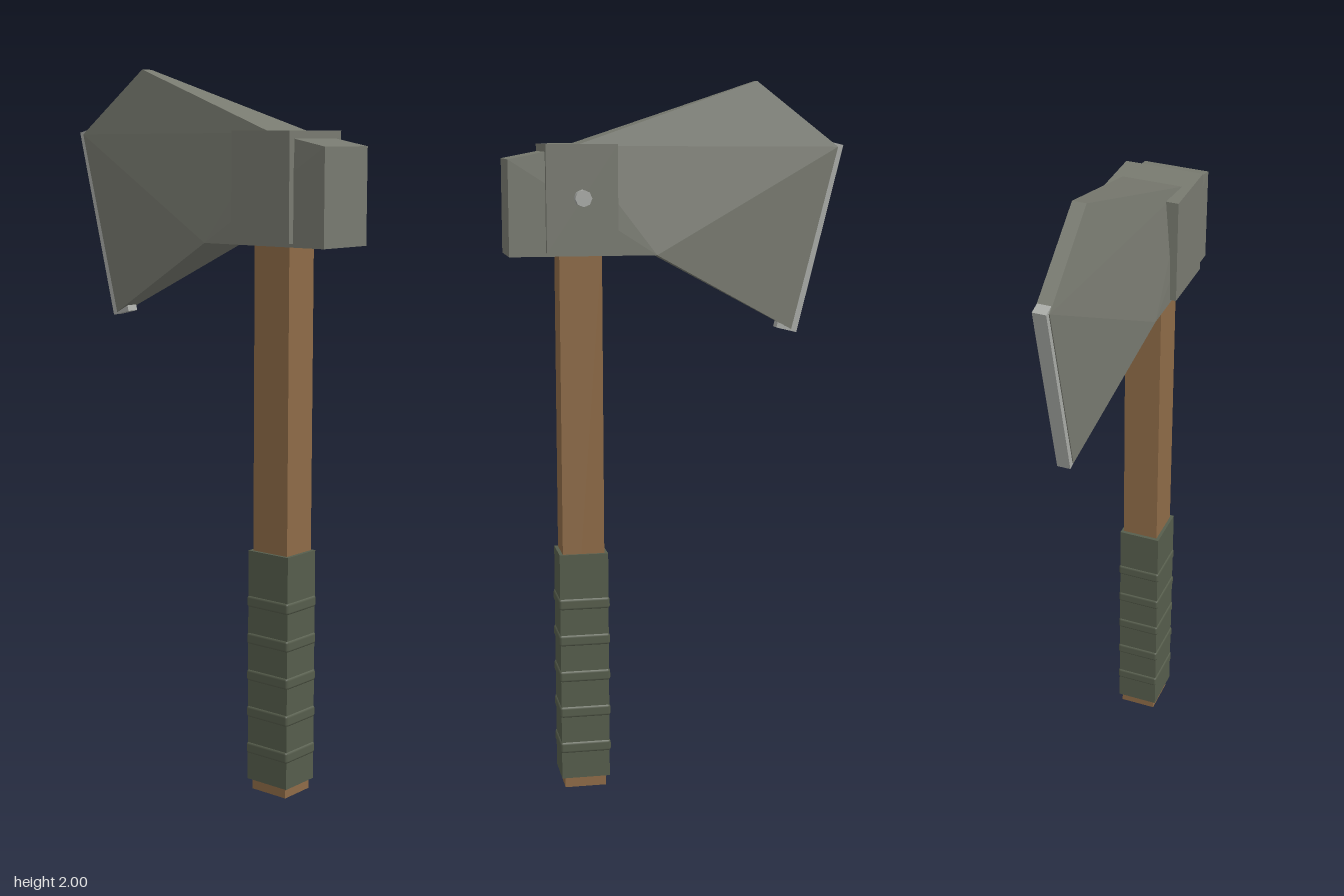
import * as THREE from 'three';
import { RoundedBoxGeometry } from 'three/addons/geometries/RoundedBoxGeometry.js';

const Z = 0.014; // centre plane of the axe

function material(name, color) {
  const m = new THREE.MeshStandardMaterial({ color });
  m.name = name;
  return m;
}

// Faceted head: outline points [x, y, half thickness], counter-clockwise from the front
function headGeometry() {
  const outline = [
    [-0.46, 1.82, 0.02],   // 0 upper end of the cutting edge
    [-0.33, 1.31, 0.02],   // 1 lower end of the cutting edge
    [0.07, 1.53, 0.093],   // 2 beard meets the eye
    [0.475, 1.53, 0.093],  // 3 poll, bottom
    [0.475, 1.79, 0.093],  // 4 poll, top
    [0.295, 1.825, 0.087], // 5 end of the top ridge
    [-0.225, 2.0, 0.019],  // 6 peak
  ];
  const cheek = [[0, 1, 2], [0, 2, 5], [0, 5, 6], [2, 3, 4], [2, 4, 5]];
  const pos = [];
  const put = (i, side) => pos.push(outline[i][0], outline[i][1], side * outline[i][2]);
  for (const [a, b, c] of cheek) {
    put(a, 1); put(b, 1); put(c, 1);
    put(a, -1); put(c, -1); put(b, -1);
  }
  outline.forEach((_, i) => {
    const j = (i + 1) % outline.length;
    put(i, 1); put(i, -1); put(j, -1);
    put(i, 1); put(j, -1); put(j, 1);
  });
  const g = new THREE.BufferGeometry();
  g.setAttribute('position', new THREE.Float32BufferAttribute(pos, 3));
  g.computeVertexNormals();
  return g;
}

export function createModel() {
  const group = new THREE.Group();
  group.name = 'axe';
  const steel = material('dark steel', 0x787a70);
  const edgeSteel = material('sharpened steel', 0xa9aba7);
  const wood = material('wood', 0x8e6b47);
  const wrap = material('green wrap', 0x565d4c);

  const add = (name, geometry, mat, x, y, z) => {
    const mesh = new THREE.Mesh(geometry, mat);
    mesh.name = name;
    mesh.position.set(x, y, z);
    group.add(mesh);
    return mesh;
  };

  // Handle and its wrapped grip
  const hx = 0.275, hz = 0.017;
  add('handle', new THREE.BoxGeometry(0.118, 1.56, 0.106), wood, hx, 0.78, hz);
  add('grip', new THREE.BoxGeometry(0.138, 0.66, 0.122), wrap, hx, 0.36, hz + 0.001);
  for (let i = 0; i < 5; i++) {
    add('gripRing', new RoundedBoxGeometry(0.146, 0.034, 0.13, 1, 0.008), wrap,
      hx, 0.122 + i * 0.106, hz + 0.001);
  }

  // Head, cutting edge and collar
  add('head', headGeometry(), steel, 0, 0, Z);
  const edge = add('cuttingEdge', new THREE.BoxGeometry(0.06, 0.54, 0.037), edgeSteel, -0.381, 1.57, Z - 0.001);
  edge.rotation.z = 0.243;
  add('collar', new THREE.BoxGeometry(0.195, 0.29, 0.222), steel, 0.2775, 1.685, Z);

  // Pin on the back of the collar
  const pin = add('pin', new THREE.CylinderGeometry(0.023, 0.023, 0.04, 8), edgeSteel, 0.278, 1.687, -0.108);
  pin.rotation.x = Math.PI / 2;

  return group;
}
